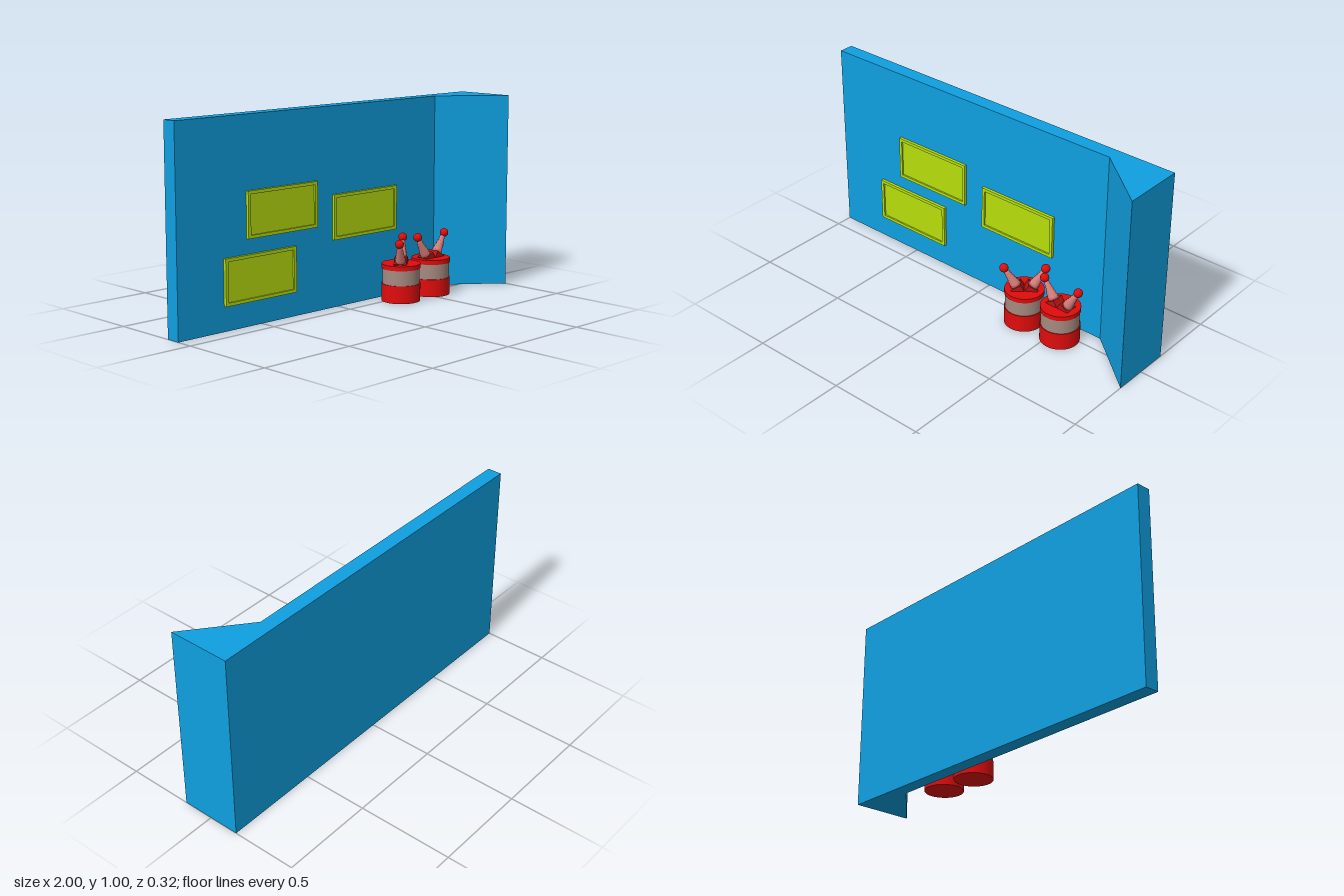
import * as THREE from 'three';

const mat = (color) => new THREE.MeshStandardMaterial({ color });
const blue = mat(0x0fa0e0);
const lime = mat(0xb8de0c);
const red = mat(0xe00c0c);
const grey = mat(0xa58a80);
const pink = mat(0xd87c78);
const darkRed = mat(0xb81414);

function add(parent, name, geometry, material, x = 0, y = 0, z = 0) {
  const mesh = new THREE.Mesh(geometry, material);
  mesh.name = name;
  mesh.position.set(x, y, z);
  parent.add(mesh);
  return mesh;
}

// Slab with an angled buttress at one end, extruded upwards from its plan
function wall() {
  const plan = [[-1, 0.16], [-1, 0.085], [0.7, 0.085], [1, -0.16], [1, 0.16]];
  const shape = new THREE.Shape(plan.map(([x, y]) => new THREE.Vector2(x, y)));
  return new THREE.ExtrudeGeometry(shape, { depth: 1, bevelEnabled: false }).rotateX(-Math.PI / 2);
}

// Shallow framed plate
function panel(x, y) {
  const w = 0.44, h = 0.225, border = 0.016;
  const group = new THREE.Group();
  group.name = 'wallPanel';
  const rect = (Type, a, b) => new Type([
    new THREE.Vector2(-a, -b), new THREE.Vector2(a, -b), new THREE.Vector2(a, b), new THREE.Vector2(-a, b),
  ]);
  const outline = rect(THREE.Shape, w / 2, h / 2);
  outline.holes.push(rect(THREE.Path, w / 2 - border, h / 2 - border));
  add(group, 'panelFrame', new THREE.ExtrudeGeometry(outline, { depth: 0.016, bevelEnabled: false }), lime);
  add(group, 'panelPlate', new THREE.BoxGeometry(w - 2 * border, h - 2 * border, 0.008), lime, 0, 0, 0.004);
  group.position.set(x, y, -0.086);
  return group;
}

// Ribbed, tapering insulator on a tilted block, ending in a ball
function electrode(side) {
  const group = new THREE.Group();
  group.name = 'electrode';
  add(group, 'electrodeBlock', new THREE.BoxGeometry(0.055, 0.035, 0.064), darkRed, 0, -0.004, 0);
  const ribs = 6, length = 0.1, points = [new THREE.Vector2(0, 0.01)];
  for (let i = 0; i < ribs; i++) {
    const r = 0.029 - 0.0028 * i;
    const y = 0.01 + (i * length) / ribs;
    points.push(new THREE.Vector2(r, y), new THREE.Vector2(r - 0.006, y + length / ribs));
  }
  points.push(new THREE.Vector2(0, 0.01 + length));
  add(group, 'insulator', new THREE.LatheGeometry(points, 20), pink);
  add(group, 'electrodeBall', new THREE.SphereGeometry(0.022, 20, 14), red, 0, 0.125, 0);
  group.position.set(side * 0.036, 0.197, 0);
  group.rotation.z = -side * 0.54;
  return group;
}

function canister(x, z, turn) {
  const group = new THREE.Group();
  group.name = 'canister';
  const drum = (name, r, bottom, top, material) =>
    add(group, name, new THREE.CylinderGeometry(r, r, top - bottom, 40), material, 0, (bottom + top) / 2, 0);
  drum('canisterBase', 0.098, 0, 0.09, red);
  drum('canisterBand', 0.094, 0.09, 0.167, grey);
  drum('canisterLid', 0.098, 0.167, 0.19, red);
  for (const side of [-1, 1]) group.add(electrode(side));
  group.position.set(x, 0, z);
  group.rotation.y = turn;
  return group;
}

export function createModel() {
  const model = new THREE.Group();
  model.name = 'wallWithCanisters';
  add(model, 'wall', wall(), blue);
  for (const [x, y] of [[-0.37, 0.532], [-0.51, 0.233], [0.182, 0.453]]) model.add(panel(x, y));
  model.add(canister(0.325, 0.035, 0.68), canister(0.547, 0.035, 0));
  return model;
}
